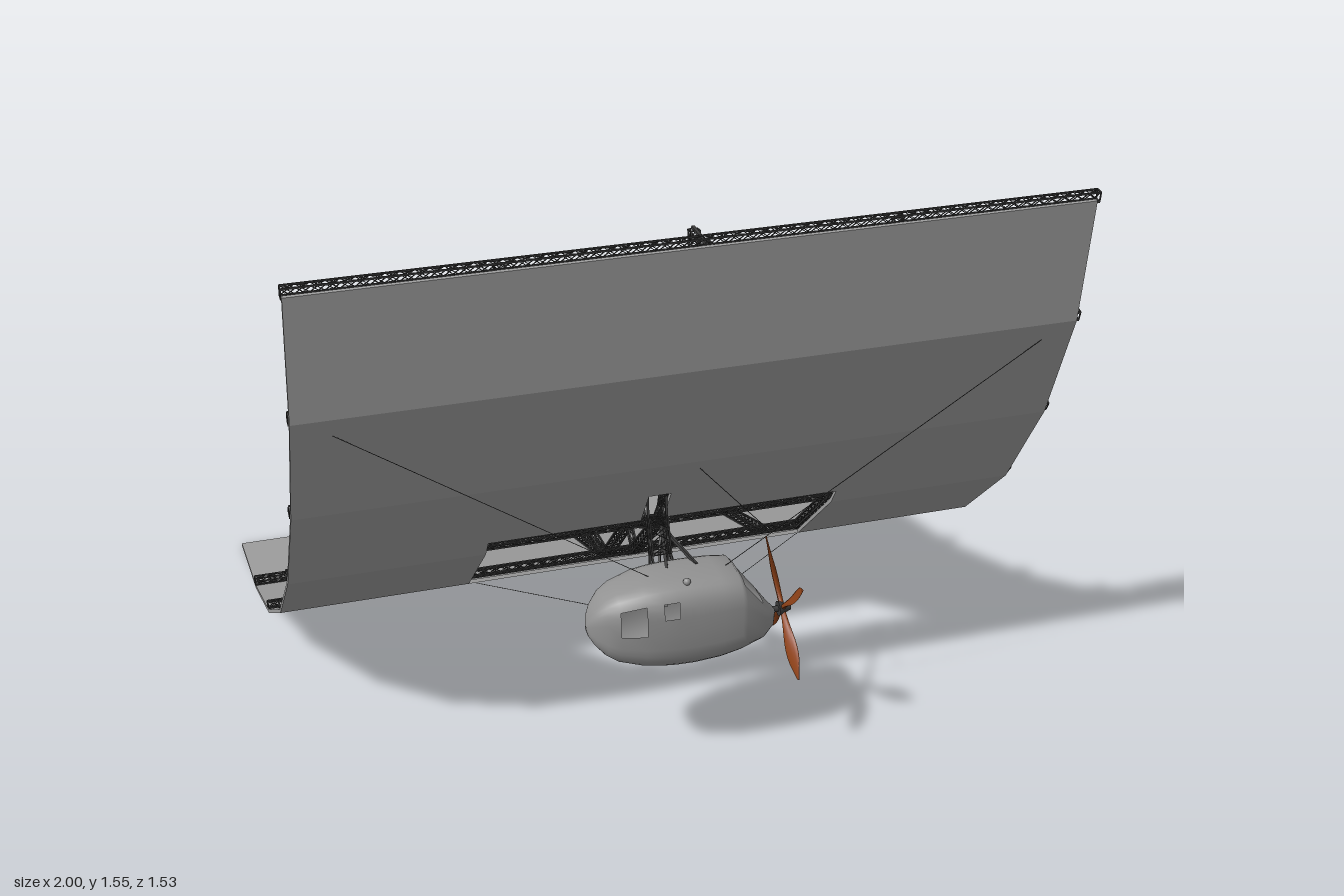
import * as THREE from 'three';
import { mergeGeometries } from 'three/addons/utils/BufferGeometryUtils.js';

const V = (x, y, z) => new THREE.Vector3(x, y, z);
const sheetGrey = new THREE.MeshStandardMaterial({ color: 0x9f9f9f });
const shellGrey = new THREE.MeshStandardMaterial({ color: 0x929292, side: THREE.DoubleSide });
const dark = new THREE.MeshStandardMaterial({ color: 0x3a3a3a });
const wood = new THREE.MeshStandardMaterial({ color: 0x8f4218 });

// Sheet profile as [z, y], from the upper edge to the trailing edge
const PROFILE = [[0.762, 1.53], [0.722, 1.19], [0.602, 0.87], [0.422, 0.58], [0.192, 0.35], [-0.11, 0.16], [-0.43, 0.047], [-0.76, 0]];

function addMesh(group, name, geometry, material = dark) {
  const mesh = new THREE.Mesh(geometry, material);
  mesh.name = name;
  group.add(mesh);
  return mesh;
}

// Square bar between two points
function bar(a, b, t) {
  const d = b.clone().sub(a);
  const g = new THREE.BoxGeometry(t, d.length(), t);
  g.applyQuaternion(new THREE.Quaternion().setFromUnitVectors(V(0, 1, 0), d.clone().normalize()));
  const m = a.clone().add(b).multiplyScalar(0.5);
  return g.translate(m.x, m.y, m.z);
}

// Lattice box girder: four chords with crossed lacing on every side
function truss(a, b, w, h, up) {
  const dir = b.clone().sub(a).normalize();
  const side = dir.clone().cross(up).normalize();
  const top = side.clone().cross(dir);
  const corners = [[-1, -1], [1, -1], [1, 1], [-1, 1]];
  const at = (k, s) => a.clone().lerp(b, s)
    .addScaledVector(side, corners[k % 4][0] * w / 2)
    .addScaledVector(top, corners[k % 4][1] * h / 2);
  const n = Math.max(2, Math.round(a.distanceTo(b) / 0.034));
  const parts = [];
  for (let k = 0; k < 4; k++) {
    parts.push(bar(at(k, 0), at(k, 1), 0.004));
    parts.push(bar(at(k, 0), at(k + 1, 0), 0.003), bar(at(k, 1), at(k + 1, 1), 0.003));
    for (let i = 0; i < n; i++) {
      parts.push(bar(at(k, i / n), at(k + 1, (i + 1) / n), 0.002));
      parts.push(bar(at(k + 1, i / n), at(k, (i + 1) / n), 0.002));
    }
  }
  return mergeGeometries(parts);
}

// Unit normal of a profile segment, towards the girder side
function normal(p, q) {
  return V(0, p[0] - q[0], q[1] - p[1]).normalize();
}

// Flat panel between two profile points
function panel(p, q, x0, x1) {
  const n = normal(p, q);
  const g = new THREE.BoxGeometry(x1 - x0, 0.01, Math.hypot(q[0] - p[0], q[1] - p[1]));
  g.applyMatrix4(new THREE.Matrix4().makeBasis(V(1, 0, 0), n, V(1, 0, 0).cross(n)));
  return g.translate((x0 + x1) / 2, (p[1] + q[1]) / 2 + n.y * 0.005, (p[0] + q[0]) / 2 + n.z * 0.005);
}

function buildSheet(group) {
  const L = -1, R = 0.985, slotTop = [0.521, 0.74], holeTop = [0.453, 0.63];
  const P = PROFILE, parts = [];
  for (const i of [0, 1, 4, 5, 6]) parts.push(panel(P[i], P[i + 1], L, R));
  parts.push(panel(P[2], slotTop, L, R));
  // Mast slot, then the large central opening
  parts.push(panel(slotTop, holeTop, L, -0.075), panel(slotTop, holeTop, -0.015, R));
  for (const [p, q] of [[holeTop, P[3]], [P[3], P[4]]]) parts.push(panel(p, q, L, -0.485), panel(p, q, 0.47, R));
  addMesh(group, 'curvedSheet', mergeGeometries(parts), sheetGrey);
}

function buildGirders(group) {
  // Spars across the full width, lying on the sheet at each fold
  for (let i = 0; i < PROFILE.length - 1; i++) {
    const n = normal(PROFILE[Math.max(0, i - 1)], PROFILE[i + 1]);
    const c = V(0, PROFILE[i][1], PROFILE[i][0]).addScaledVector(n, 0.025);
    addMesh(group, 'crossSpar', truss(V(-1, c.y, c.z), V(1, c.y, c.z), 0.026, 0.018, n));
  }
  // Ribs following the profile
  for (const x of [-0.5, -0.01, 0.475]) {
    const parts = [];
    for (let i = 0; i < PROFILE.length - 1; i++) {
      const [p, q] = [PROFILE[i], PROFILE[i + 1]];
      const n = normal(p, q);
      const off = (c) => V(x, c[1], c[0]).addScaledVector(n, 0.023);
      parts.push(truss(off(p), off(q), 0.025, 0.02, n));
    }
    addMesh(group, 'rib', mergeGeometries(parts));
  }
  // Raised bracing girders over the centre rib, with posts
  const C = (z, y) => V(-0.01, y, z);
  const raised = [
    [[0.7, 1.2], [0.51, 0.91], [0.42, 0.59]],
    [[0.42, 0.59], [0.12, 0.425], [-0.11, 0.18]],
    [[-0.11, 0.175], [-0.45, 0.155], [-0.745, 0.03]],
    [[0.705, 1.21], [0.655, 1.53]],
  ];
  const brace = [];
  for (const line of raised) {
    for (let i = 0; i < line.length - 1; i++) {
      const [p, q] = [line[i], line[i + 1]];
      brace.push(truss(C(...p), C(...q), 0.022, 0.022, normal(p, q)));
    }
  }
  for (const [p, q] of [[[0.585, 0.88], [0.51, 0.91]], [[0.18, 0.37], [0.12, 0.425]], [[-0.43, 0.07], [-0.45, 0.155]]]) {
    brace.push(truss(C(...p), C(...q), 0.018, 0.014, V(1, 0, 0)));
  }
  brace.push(bar(C(0.645, 1.533), C(0.75, 1.533), 0.008));
  addMesh(group, 'raisedBracing', mergeGeometries(brace));
}

// Gondola shell from rounded rings [x, top, bottom, half width], with openings left out
function buildGondola(group) {
  const rings = [
    [-0.273, 0.442, 0.438, 0.003], [-0.268, 0.468, 0.415, 0.025], [-0.255, 0.495, 0.393, 0.045], [-0.23, 0.525, 0.365, 0.067], [-0.2, 0.543, 0.345, 0.082],
    [-0.135, 0.562, 0.325, 0.097], [-0.09, 0.567, 0.318, 0.102], [-0.05, 0.569, 0.314, 0.104], [0, 0.569, 0.313, 0.105],
    [0.07, 0.566, 0.318, 0.104], [0.122, 0.56, 0.328, 0.1], [0.135, 0.545, 0.332, 0.097], [0.19, 0.468, 0.352, 0.08], [0.225, 0.42, 0.372, 0.045], [0.24, 0.405, 0.39, 0.012],
  ];
  const N = 32, pos = [], idx = [], power = (v) => Math.sign(v) * Math.abs(v) ** 0.62;
  for (const [x, top, bottom, w] of rings) {
    for (let j = 0; j < N; j++) {
      const a = (j / N) * Math.PI * 2;
      pos.push(x, (top + bottom) / 2 + power(Math.sin(a)) * (top - bottom) / 2, 0.617 + power(Math.cos(a)) * w);
    }
  }
  const open = (i, j) => {
    const m = j < 16 ? Math.min(j, 15 - j) : -1;
    return (i === 4 && m >= 0 && m <= 2) || (i === 6 && (m === 1 || m === 2)) || (i === 11 && m >= 5);
  };
  for (let i = 0; i < rings.length - 1; i++) {
    for (let j = 0; j < N; j++) {
      if (open(i, j)) continue;
      const k = (j + 1) % N, a = i * N + j, b = i * N + k;
      idx.push(a, a + N, b, b, a + N, b + N);
    }
  }
  const g = new THREE.BufferGeometry();
  g.setAttribute('position', new THREE.Float32BufferAttribute(pos, 3));
  g.setIndex(idx);
  g.computeVertexNormals();
  addMesh(group, 'gondolaShell', g, shellGrey);
  addMesh(group, 'roofCap', new THREE.SphereGeometry(0.01, 12, 8).translate(-0.02, 0.567, 0.675), shellGrey);
  addMesh(group, 'sideStep', new THREE.BoxGeometry(0.04, 0.07, 0.012).translate(-0.04, 0.43, 0.512), shellGrey);
}

function buildPropeller(group) {
  const prop = new THREE.Group();
  prop.name = 'propeller';
  prop.position.set(0.265, 0.4, 0.617);
  // Twisted leaf-shaped blade
  const blade = new THREE.CylinderGeometry(1, 1, 0.19, 12, 16).translate(0, 0.1, 0);
  const p = blade.attributes.position;
  for (let i = 0; i < p.count; i++) {
    const s = THREE.MathUtils.clamp((p.getY(i) - 0.005) / 0.19, 0, 1);
    const w = 0.007 + 0.017 * Math.sin(Math.PI * s ** 1.6) - 0.004 * s;
    const x = p.getX(i) * (0.007 - 0.005 * s), z = p.getZ(i) * w;
    const t = 0.95 - 0.65 * s;
    p.setXYZ(i, x * Math.cos(t) - z * Math.sin(t), p.getY(i), x * Math.sin(t) + z * Math.cos(t));
  }
  blade.computeVertexNormals();
  for (let k = 0; k < 4; k++) addMesh(prop, 'blade', blade, wood).rotation.x = Math.PI / 4 + k * Math.PI / 2;
  addMesh(prop, 'hub', new THREE.CylinderGeometry(0.008, 0.02, 0.034, 20).rotateZ(-Math.PI / 2).translate(0.005, 0, 0));
  addMesh(prop, 'shaft', new THREE.CylinderGeometry(0.008, 0.008, 0.08, 12).rotateZ(Math.PI / 2).translate(-0.045, 0, 0));
  group.add(prop);
}

function buildRigging(group) {
  // Mast frame and struts carrying the gondola from the centre rib
  const struts = [truss(V(-0.045, 0.57, 0.53), V(-0.045, 0.66, 0.495), 0.05, 0.03, V(0, 0, 1))];
  for (const s of [-1, 1]) {
    const x = -0.045 + s * 0.025;
    struts.push(bar(V(x, 0.72, 0.49), V(x, 0.46, 0.53), 0.006));
    struts.push(bar(V(-0.01, 0.585, 0.42), V(-0.01 + s * 0.04, 0.565, 0.6), 0.008));
    struts.push(bar(V(-0.01, 0.58, 0.42), V(-0.01 + s * 0.04, 0.41, 0.52), 0.006));
    struts.push(bar(V(x, 0.67, 0.46), V(x, 0.55, 0.55), 0.005));
  }
  addMesh(group, 'gondolaStruts', mergeGeometries(struts));
  // Stay wires
  const wires = [bar(V(0.04, 0.84, 0.585), V(0.21, 0.66, 0.63), 0.0014)];
  for (const s of [-1, 1]) {
    wires.push(bar(V(s * 0.9, 1.14, 0.706), V(s * 0.1, 0.56, 0.62), 0.0014));
    wires.push(bar(V(s * 0.47, 0.35, 0.19), V(s * 0.03, 0.357, 0.52), 0.0014));
  }
  addMesh(group, 'stayWires', mergeGeometries(wires));
}

export function createModel() {
  const model = new THREE.Group();
  model.name = 'sheetWingAircraft';
  for (const build of [buildSheet, buildGirders, buildGondola, buildPropeller, buildRigging]) build(model);
  return model;
}
